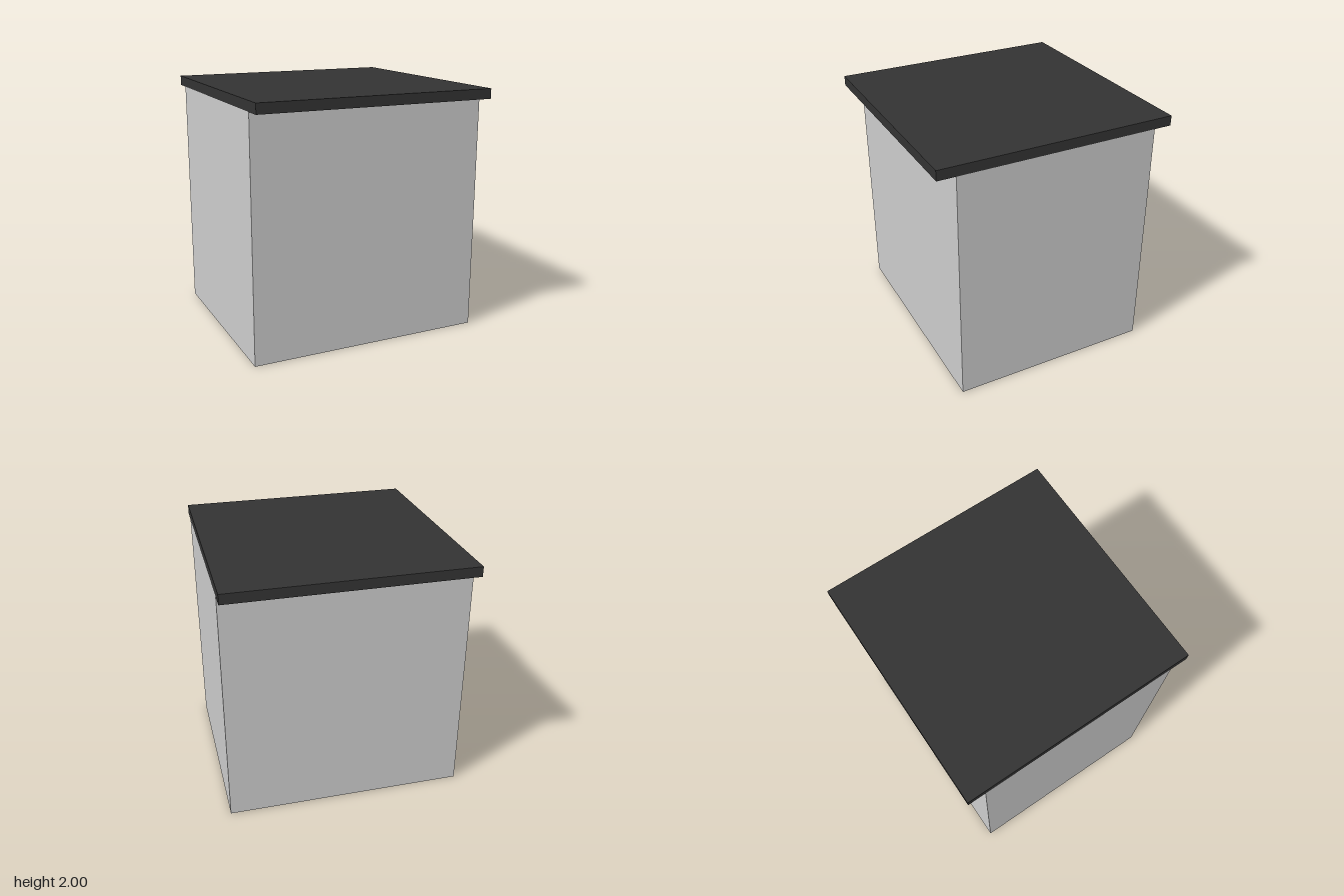
import * as THREE from 'three';

// Box standing on height y0
function block(name, w, h, d, y0, color) {
  const mesh = new THREE.Mesh(
    new THREE.BoxGeometry(w, h, d),
    new THREE.MeshStandardMaterial({ color })
  );
  mesh.name = name;
  mesh.position.y = y0 + h / 2;
  return mesh;
}

export function createModel() {
  const model = new THREE.Group();
  model.name = 'cabinet';

  // Cabinet body, flush with the top at the sides
  model.add(block('body', 1.92, 1.92, 1.63, 0, 0xcccccc));
  // Dark top slab, overhanging front and back
  model.add(block('countertop', 1.92, 0.08, 1.92, 1.92, 0x333333));

  return model;
}
